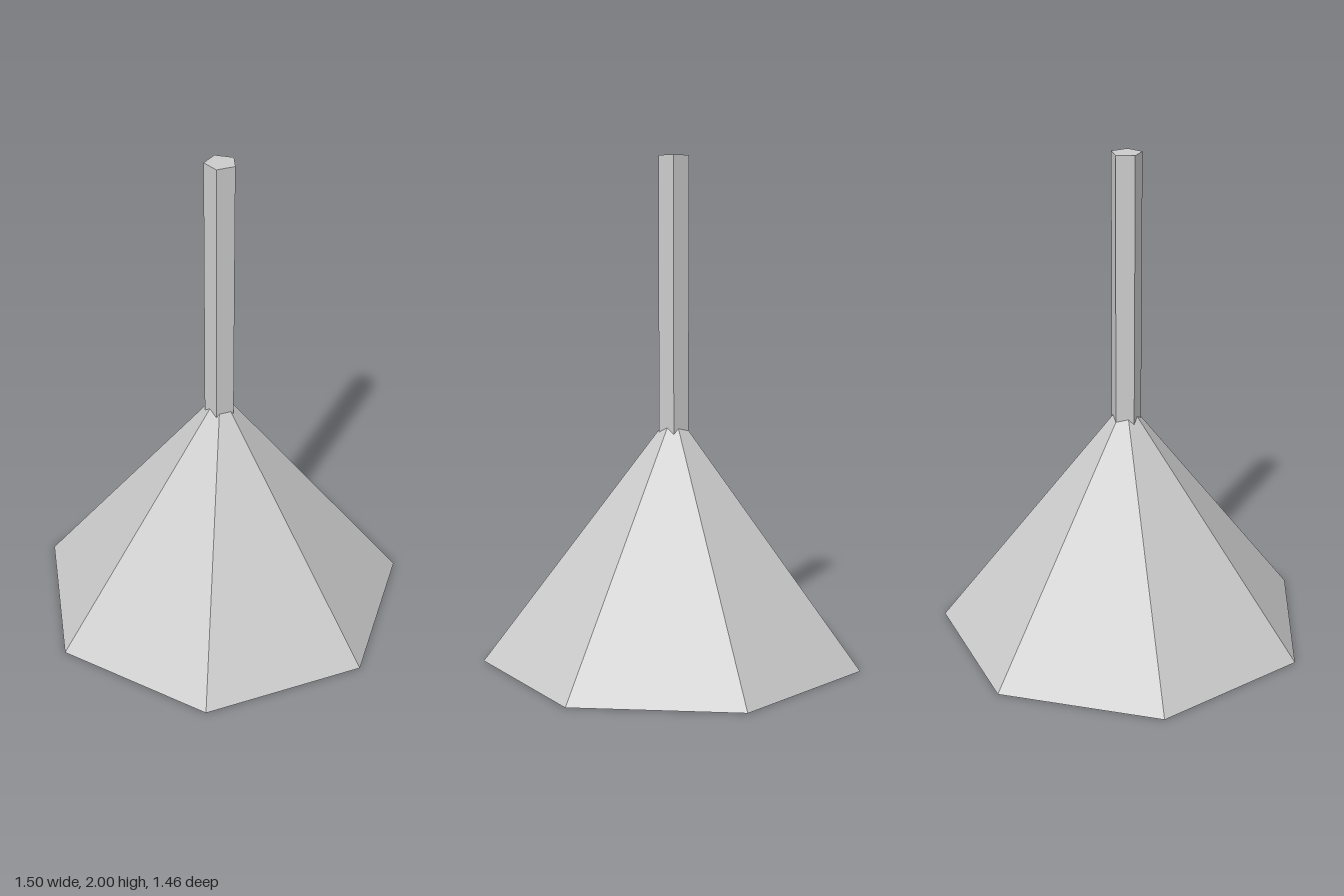
import * as THREE from 'three';

const AXIS_Z = 0.036; // common axis of all parts

function addPart(group, name, geometry, y, color = 0xcccccc) {
  const material = new THREE.MeshStandardMaterial({ color, flatShading: true });
  const mesh = new THREE.Mesh(geometry, material);
  mesh.name = name;
  mesh.position.set(0, y, AXIS_Z);
  group.add(mesh);
}

export function createModel() {
  const group = new THREE.Group();
  group.name = 'pendantLamp';

  // Hollow seven-sided shade: inner wall, bottom rim, outer wall; a corner points back
  const profile = [[0, 0.91], [0.7, 0], [0.768, 0], [0, 1]].map(([r, y]) => new THREE.Vector2(r, y));
  addPart(group, 'shade', new THREE.LatheGeometry(profile, 7, Math.PI), 0);

  // Five-sided hanging rod, running down through the shade to the bulb
  const rodBottom = 0.55, rodTop = 2;
  const rod = new THREE.CylinderGeometry(0.062, 0.062, rodTop - rodBottom, 5, 1, false, Math.PI);
  addPart(group, 'rod', rod, (rodTop + rodBottom) / 2);

  // Low-poly bulb inside the shade
  addPart(group, 'bulb', new THREE.SphereGeometry(0.13, 7, 5), 0.47, 0x0000cc);

  return group;
}
